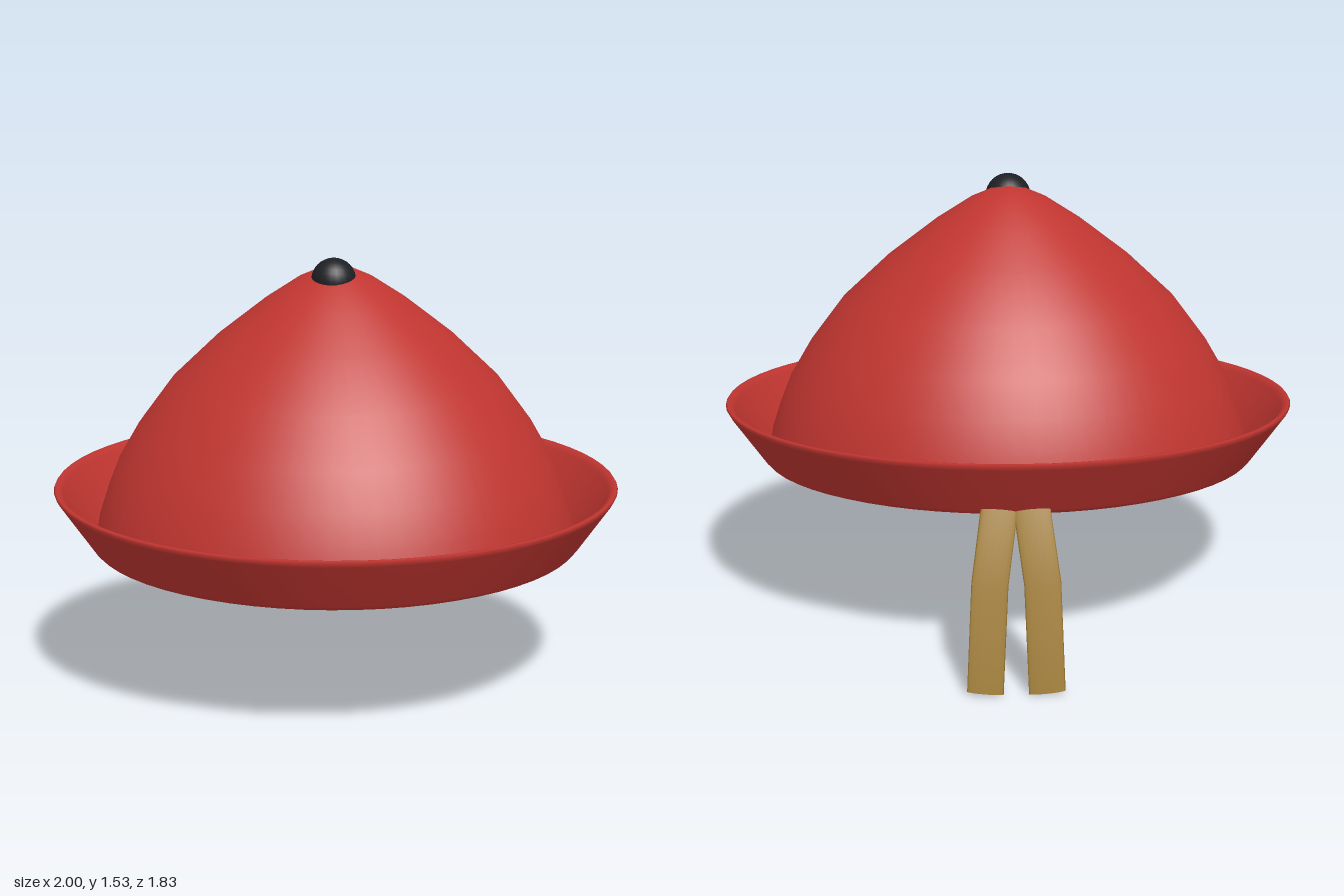
import * as THREE from 'three';

const red = new THREE.MeshStandardMaterial({ color: 0xc03530, side: THREE.DoubleSide });
const black = new THREE.MeshStandardMaterial({ color: 0x1e1f24 });
const gold = new THREE.MeshStandardMaterial({ color: 0xa8843f });

// Oval plan, with the whole hat dipping towards the front.
const oval = new THREE.Matrix4().set(
  1, 0, 0, 0,
  0, 1, -0.056, 0,
  0, 0, 0.915, 0,
  0, 0, 0, 1
);

function turned(name, profile) {
  const points = profile.map(([r, y]) => new THREE.Vector2(r, y));
  const geometry = new THREE.LatheGeometry(points, 64).applyMatrix4(oval);
  const mesh = new THREE.Mesh(geometry, red);
  mesh.name = name;
  return mesh;
}

// Flat ribbon: a squashed cylinder whose rings follow a bent path.
function ribbon(name, side) {
  const path = [[0.1, 0.008, -0.897], [0.084, 0.38, -0.877], [0.048, 0.63, -0.787]];
  const geometry = new THREE.CylinderGeometry(1, 1, 2, 16, 2);
  const p = geometry.attributes.position;
  for (let i = 0; i < p.count; i++) {
    const [x, y, z] = path[Math.round(p.getY(i) + 1)];
    const u = p.getX(i);
    p.setXYZ(i, side * x + u * 0.059, y + side * u * 0.006, z + p.getZ(i) * 0.01);
  }
  geometry.computeVertexNormals();
  const mesh = new THREE.Mesh(geometry, gold);
  mesh.name = name;
  return mesh;
}

export function createModel() {
  const hat = new THREE.Group();
  hat.name = 'hat';

  // Hollow crown
  const crown = turned('crown', [
    [0.855, 0.545], [0.84, 0.63], [0.81, 0.72], [0.77, 0.82], [0.7, 0.94],
    [0.58, 1.1], [0.42, 1.25], [0.25, 1.38], [0.13, 1.457], [0.06, 1.487], [0, 1.497],
  ]);
  // The tip leans slightly backwards
  const p = crown.geometry.attributes.position;
  for (let i = 0; i < p.count; i++) {
    p.setZ(i, p.getZ(i) - 0.02 * Math.max(0, (p.getY(i) - 0.8) / 0.7));
  }
  hat.add(crown);

  // Thin upturned brim with a rounded lip
  hat.add(turned('brim', [
    [0.85, 0.55], [0.846, 0.54], [0.855, 0.533], [0.868, 0.538], [0.88, 0.552],
    [0.992, 0.715], [1, 0.73], [0.995, 0.738], [0.98, 0.735], [0.967, 0.72],
    [0.862, 0.565], [0.85, 0.55],
  ]));

  // Button near the top
  const button = new THREE.Mesh(new THREE.SphereGeometry(0.079, 24, 16), black);
  button.name = 'button';
  button.position.set(0, 1.45, 0.033);
  hat.add(button);

  // Pair of ribbons hanging at the back
  hat.add(ribbon('leftRibbon', 1), ribbon('rightRibbon', -1));
  return hat;
}
